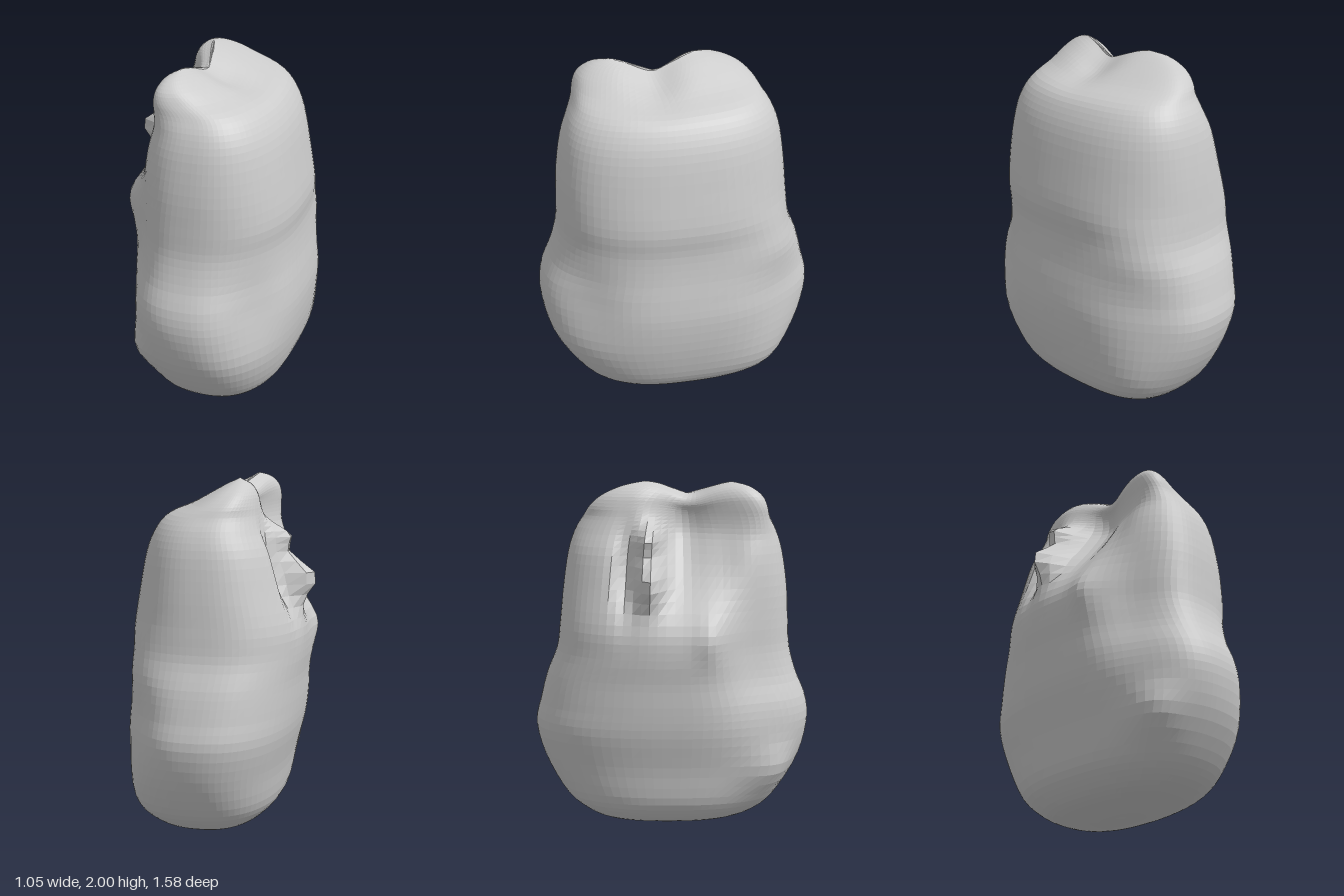
import * as THREE from 'three';

// horizontal cross-sections: y, x min, x max, z min, z max
const SECTIONS = [
  [0, 0.08, 0.1, -0.03, 0.03],
  [0.01, -0.04, 0.24, -0.25, 0.2],
  [0.04, -0.18, 0.32, -0.42, 0.38],
  [0.1, -0.27, 0.4, -0.53, 0.52],
  [0.2, -0.34, 0.46, -0.63, 0.62],
  [0.4, -0.38, 0.51, -0.74, 0.74],
  [0.6, -0.43, 0.53, -0.79, 0.79],
  [0.75, -0.45, 0.52, -0.76, 0.78],
  [0.9, -0.46, 0.5, -0.72, 0.72],
  [1.05, -0.48, 0.49, -0.66, 0.68],
  [1.2, -0.48, 0.5, -0.64, 0.67],
  [1.4, -0.42, 0.47, -0.62, 0.66],
  [1.6, -0.36, 0.43, -0.59, 0.63],
  [1.72, -0.3, 0.38, -0.55, 0.59],
  [1.8, -0.27, 0.31, -0.5, 0.54],
  [1.86, -0.25, 0.17, -0.46, 0.5],
  [1.92, -0.23, 0.06, -0.39, 0.46],
  [1.97, -0.19, -0.03, -0.28, 0.4],
  [2, -0.12, -0.1, -0.15, 0.32],
];

// soft pushes: centre, reach and shift, each as x y z
const PUSHES = [
  // hollow from the crest down to the waist, easing out towards the front
  [[-0.3, 1.68, 0.06], [0.35, 0.33, 0.16], [0.2, 0, 0]],
  [[-0.3, 1.65, 0.28], [0.3, 0.3, 0.14], [0.08, 0, 0]],
  // jagged spur with a notch behind it
  [[-0.4, 1.47, -0.12], [0.2, 0.12, 0.07], [-0.17, 0, 0]],
  [[-0.33, 1.69, -0.12], [0.2, 0.07, 0.06], [-0.14, 0, 0]],
  [[-0.35, 1.5, -0.25], [0.25, 0.22, 0.06], [0.08, 0, 0]],
  // small point below the hollow
  [[-0.48, 1.15, 0.22], [0.15, 0.12, 0.08], [-0.03, 0, 0]],
  // saddle in the crest
  [[-0.05, 1.97, 0.1], [0.4, 0.12, 0.14], [0, -0.08, 0]],
  // corner between the front and the broken side: full, then cut, then a spur
  [[-0.15, 1.86, 0.42], [0.14, 0.15, 0.15], [-0.05, 0, 0.06]],
  [[-0.4, 1.1, 0.52], [0.22, 0.4, 0.22], [0.07, 0, -0.07]],
  [[-0.33, 0.36, 0.6], [0.14, 0.14, 0.18], [-0.06, 0, 0.05]],
  // front and back corners of the smooth side
  [[0.4, 0.7, 0.6], [0.22, 0.25, 0.25], [-0.04, 0, -0.05]],
  [[0.4, 0.65, -0.6], [0.22, 0.2, 0.25], [-0.02, 0, 0.03]],
  [[0.4, 1.02, -0.5], [0.22, 0.15, 0.25], [0.02, 0, -0.03]],
  [[0.4, 0.2, -0.45], [0.25, 0.18, 0.25], [0.03, 0, -0.03]],
];
const ROWS = 60, SIDES = 88, ROUNDNESS = 2.45;

function shapePoint(p) {
  const from = p.toArray(), to = p.toArray();
  for (const [centre, reach, shift] of PUSHES) {
    const d2 = from.reduce((sum, v, k) => sum + ((v - centre[k]) / reach[k]) ** 2, 0);
    const weight = Math.exp(-d2);
    shift.forEach((s, k) => { to[k] += s * weight; });
  }
  return to;
}

function rockGeometry() {
  const spline = (lo, hi) => new THREE.CatmullRomCurve3(
    SECTIONS.map(s => new THREE.Vector3(s[0], s[lo], s[hi])), false, 'catmullrom', 0.5);
  const xs = spline(1, 2), zs = spline(3, 4);
  const positions = [], index = [];
  for (let j = 0; j <= ROWS; j++) {
    const a = xs.getPoint(j / ROWS), b = zs.getPoint(j / ROWS);
    for (let i = 0; i < SIDES; i++) {
      const t = (i / SIDES) * Math.PI * 2;
      const c = Math.cos(t), s = Math.sin(t);
      const r = (Math.abs(c) ** ROUNDNESS + Math.abs(s) ** ROUNDNESS) ** (-1 / ROUNDNESS);
      positions.push(...shapePoint(new THREE.Vector3(
        (a.y + a.z) / 2 + r * c * (a.z - a.y) / 2,
        Math.max(0, a.x),
        (b.y + b.z) / 2 + r * s * (b.z - b.y) / 2
      )));
      if (j < ROWS) {
        const k = j * SIDES + i, n = j * SIDES + (i + 1) % SIDES;
        index.push(k, k + SIDES, n, n, k + SIDES, n + SIDES);
      }
    }
  }
  // close the small rings at both ends
  const top = ROWS * SIDES;
  for (let i = 1; i < SIDES - 1; i++) {
    index.push(0, i, i + 1, top, top + i + 1, top + i);
  }
  const geometry = new THREE.BufferGeometry();
  geometry.setAttribute('position', new THREE.Float32BufferAttribute(positions, 3));
  geometry.setIndex(index);
  geometry.computeVertexNormals();
  return geometry;
}

export function createModel() {
  const group = new THREE.Group();
  group.name = 'boulder';
  const material = new THREE.MeshStandardMaterial({ color: 0xcccccc, flatShading: true, side: THREE.DoubleSide });
  const rock = new THREE.Mesh(rockGeometry(), material);
  rock.name = 'rock';
  group.add(rock);
  return group;
}
